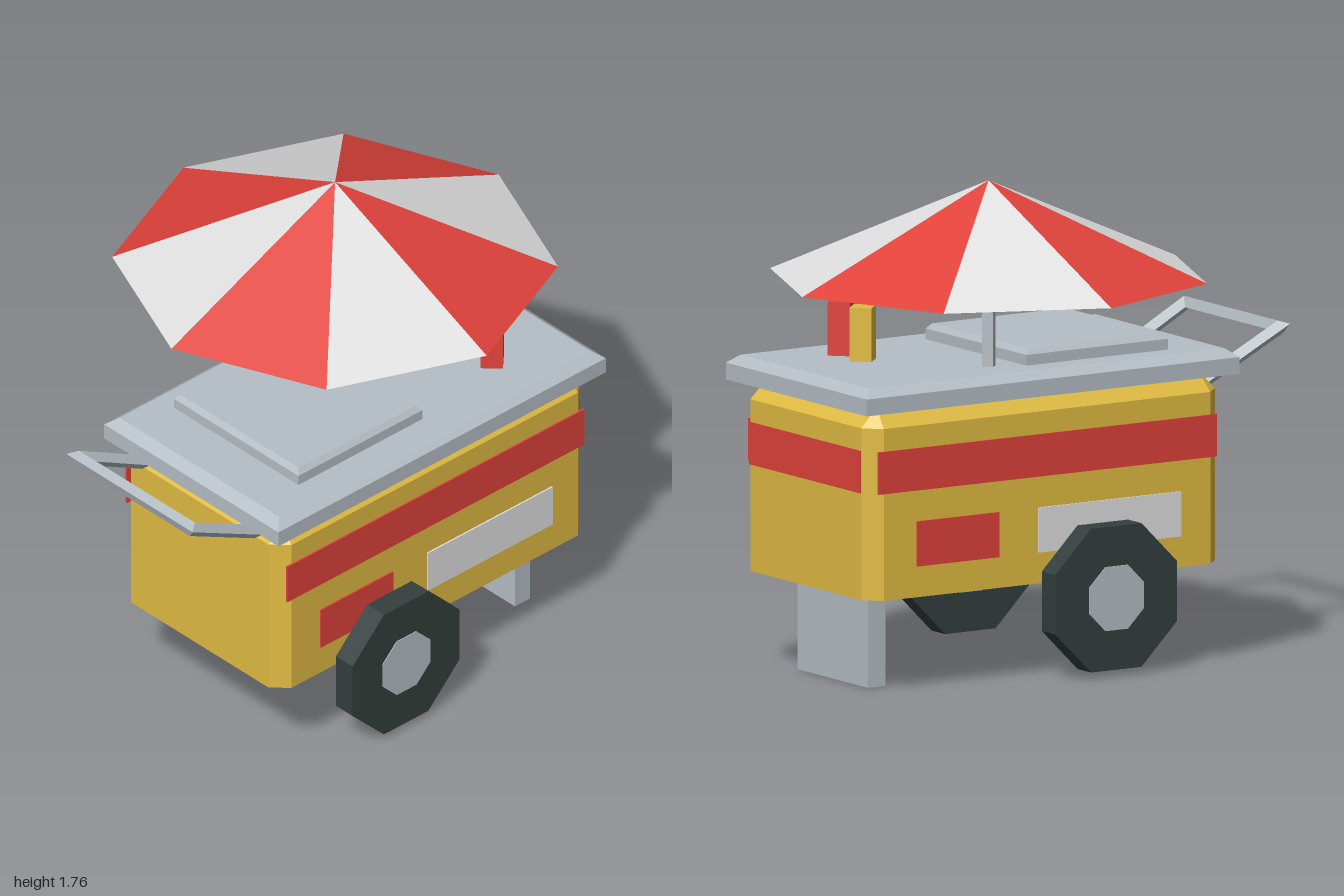
import * as THREE from 'three';

const mat = (name, color, side = THREE.FrontSide) =>
  new THREE.MeshStandardMaterial({ name, color, side, flatShading: true });

// Skin over rings of [x, y, z] points, counter-clockwise about the travel direction
function loft(rings) {
  const n = rings[0].length, index = [];
  const last = (rings.length - 1) * n;
  for (let r = 0; r < rings.length - 1; r++) {
    for (let i = 0; i < n; i++) {
      const a = r * n + i, b = r * n + (i + 1) % n;
      index.push(a, b, b + n, a, b + n, a + n);
    }
  }
  for (let i = 1; i < n - 1; i++) {
    index.push(0, i + 1, i, last, last + i, last + i + 1);
  }
  const g = new THREE.BufferGeometry();
  g.setAttribute('position', new THREE.Float32BufferAttribute(rings.flat(2), 3));
  g.setIndex(index);
  const flat = g.toNonIndexed();
  flat.computeVertexNormals();
  return flat;
}

// Horizontal rings: plain rectangle and rectangle with cut corners
const rect = (y, x, z) => [[x, y, z], [x, y, -z], [-x, y, -z], [-x, y, z]];
const cutRect = (y, x, z, c) => [
  [x, y, z - c], [x, y, c - z], [x - c, y, -z], [c - x, y, -z],
  [-x, y, c - z], [-x, y, z - c], [c - x, y, z], [x - c, y, z],
];

export function createModel() {
  const yellow = mat('mustard yellow', 0xe0bb42);
  const red = mat('red', 0xe0423b, THREE.DoubleSide);
  const white = mat('off white', 0xe0e0e0, THREE.DoubleSide);
  const metal = mat('grey metal', 0xb5bec5);
  const rubber = mat('dark rubber', 0x343f3d);

  const model = new THREE.Group();
  model.name = 'foodCart';
  const add = (name, geometry, material, x = 0, y = 0, z = 0, parent = model) => {
    const mesh = new THREE.Mesh(geometry, material);
    mesh.name = name;
    mesh.position.set(x, y, z);
    parent.add(mesh);
    return mesh;
  };
  const CX = 0.07, CZ = 0.26;

  // Body with cut corners and a tapered shoulder
  add('body', loft([
    cutRect(0.34, 0.74, 0.41, 0.057),
    cutRect(0.95, 0.74, 0.41, 0.057),
    cutRect(1.01, 0.68, 0.355, 0.006),
  ]), yellow, CX, 0, CZ);

  // Bevelled counter and lid
  add('counter', loft([
    rect(1.01, 0.78, 0.448), rect(1.07, 0.78, 0.448), rect(1.1, 0.742, 0.41),
  ]), metal, CX, 0, CZ);
  add('lid', loft([
    rect(1.1, 0.296, 0.32), rect(1.138, 0.296, 0.32), rect(1.157, 0.28, 0.304),
  ]), metal, -0.195, 0, 0.255);

  // Painted stripe and panels, the same on front and back
  for (const [name, turn] of [['frontPanels', 0], ['backPanels', Math.PI]]) {
    const side = new THREE.Group();
    side.name = name;
    side.position.set(CX, 0, CZ);
    side.rotation.y = turn;
    model.add(side);
    const plate = (label, w, h, m, x, y) =>
      add(label, new THREE.BoxGeometry(w, h, 0.008), m, x, y, 0.412, side);
    plate('stripe', 1.415, 0.15, red, 0, 0.795);
    plate('redPanel', 0.345, 0.16, red, -0.375, 0.53);
    plate('whitePanel', 0.595, 0.16, white, 0.26, 0.53);
  }
  add('endStripe', new THREE.BoxGeometry(0.008, 0.15, 0.705), red, 0.812, 0.795, CZ);

  // Wheels with hubs showing on both faces
  for (const [name, z] of [['frontWheel', 0.723], ['backWheel', -0.205]]) {
    const wheel = new THREE.Group();
    wheel.name = name;
    wheel.position.set(-0.155, 0.278, z);
    wheel.rotation.x = Math.PI / 2;
    model.add(wheel);
    const disc = (r, h) => new THREE.CylinderGeometry(r, r, h, 8, 1, false, Math.PI / 8);
    add('tyre', disc(0.276, 0.086), rubber, 0, 0, 0, wheel);
    add('hub', disc(0.123, 0.092), metal, 0, 0, 0, wheel);
  }

  // Support leg
  add('leg', new THREE.BoxGeometry(0.073, 0.34, 0.45), metal, 0.663, 0.17, 0.257);

  // Sloping push handle: a mitred U of diamond section
  const dir = new THREE.Vector3(-0.886, 0.464, 0);
  const out = new THREE.Vector3(0, 0, 1);
  const up = dir.clone().cross(out);
  const start = new THREE.Vector3(-0.66, 0.965, 0.255);
  const section = (u, v, mu, mv) => {
    const c = start.clone().addScaledVector(dir, u).addScaledVector(out, v);
    const m = dir.clone().multiplyScalar(mu).addScaledVector(out, mv);
    return [[m, 0.027], [up, 0.026], [m, -0.027], [up, -0.026]]
      .map(([d, k]) => c.clone().addScaledVector(d, k).toArray());
  };
  add('handle', loft([
    section(0, 0.288, 0, 1), section(0.357, 0.298, 1, 1),
    section(0.357, -0.298, 1, -1), section(0, -0.288, 0, -1),
  ]), metal);

  // Square bottles standing corner-on
  const bottle = new THREE.CylinderGeometry(0.056, 0.056, 0.19, 4);
  add('redBottle', bottle, red, 0.514, 1.195, 0.486);
  add('mustardBottle', bottle, yellow, 0.514, 1.195, 0.348);

  // Parasol: pole and eight open panels in alternating colours
  add('pole', new THREE.CylinderGeometry(0.028, 0.028, 0.64, 4), metal, 0.216, 1.42, 0);
  const parasol = new THREE.Group();
  parasol.name = 'parasol';
  parasol.position.set(0.216, 1.59, 0);
  model.add(parasol);
  for (let i = 0; i < 8; i++) {
    add('parasolPanel', new THREE.ConeGeometry(0.78, 0.34, 1, 1, true, i * Math.PI / 4, Math.PI / 4),
      i % 2 ? white : red, 0, 0, 0, parasol);
  }
  return model;
}
